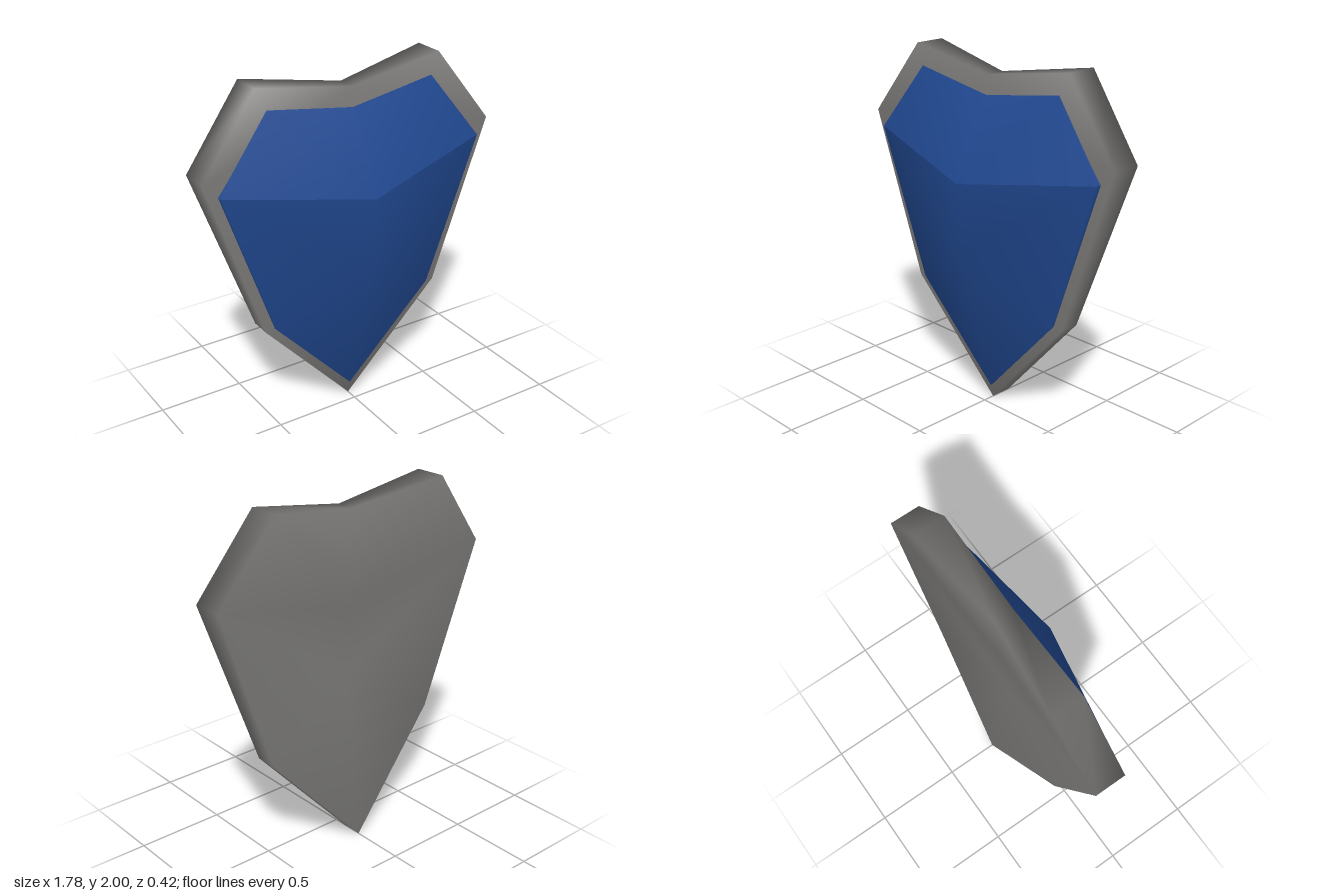
import * as THREE from 'three';

// Half outline (tip up the left side to the top notch) -> full counter-clockwise ring
function mirrorRing(half) {
  const mirrored = half.slice(1, -1).reverse().map(([x, y, z]) => [-x, y, z]);
  return [...half, ...mirrored];
}

// Smooth indexed geometry from points and triangles
function build(points, triangles) {
  const geometry = new THREE.BufferGeometry();
  geometry.setAttribute('position', new THREE.Float32BufferAttribute(points.flat(), 3));
  geometry.setIndex(triangles.flat());
  geometry.computeVertexNormals();
  return geometry;
}

// Two wall triangles between a front edge i-j and the matching back edge, n points later
const wall = (i, j, n) => [[i, n + i, n + j], [i, n + j, j]];

export function createModel() {
  const group = new THREE.Group();
  const grey = new THREE.MeshStandardMaterial({ color: 0x7d7c7a });
  const blue = new THREE.MeshStandardMaterial({ color: 0x214992 });
  const add = (name, geometry, material) => {
    const mesh = new THREE.Mesh(geometry, material);
    mesh.name = name;
    group.add(mesh);
  };

  // Backing plate: x, y, front z, back z
  const plate = [
    [0, 0, -0.07, -0.195],
    [0.56, 0.62, -0.02, -0.14],
    [0.89, 1.57, 0, -0.175],
    [0.56, 2, -0.03, -0.21],
    [0, 1.91, -0.02, -0.13],
  ];
  const front = mirrorRing(plate.map(([x, y, f]) => [x, y, f]));
  const back = mirrorRing(plate.map(([x, y, , b]) => [x, y, b]));
  const n = front.length;
  // Flat front spanned from shoulder to shoulder
  const plateTriangles = [[0, 1, 7], [1, 2, 7], [2, 6, 7], [2, 4, 6], [2, 3, 4], [4, 5, 6]];
  // Hollow back, fanned around a short central line
  const hollow = [[0, 1.36, -0.09], [0, 0.97, -0.09]];
  const high = 2 * n, low = high + 1;
  plateTriangles.push([low, high, n + 2], [high, low, n + 6]);
  for (let i = 0; i < n; i++) {
    const j = (i + 1) % n;
    plateTriangles.push([i >= 2 && i < 6 ? high : low, n + j, n + i], ...wall(i, j, n));
  }
  add('backingPlate', build([...front, ...back, ...hollow], plateTriangles), grey);

  // Raised face: an upper and a lower facet group meeting in a sharp edge
  const rim = mirrorRing([
    [0, 0.08, -0.05],
    [0.505, 0.63, -0.005],
    [0.805, 1.49, 0.03],
    [0.505, 1.88, -0.015],
    [0, 1.8, 0],
  ]);
  const peak = [0, 1.36, 0.21];
  const ridgeEnd = [0, 0.97, 0.2];

  // Fan from an apex to a run of rim points, with a short skirt down to the plate
  function facets(name, run, centres, extra) {
    const points = run.map((i) => rim[i]);
    const sunk = points.map(([x, y, z]) => [x, y, z - 0.04]);
    const m = run.length;
    const triangles = [...extra];
    for (let i = 0; i < m - 1; i++) {
      triangles.push([2 * m, i, i + 1], ...wall(i, i + 1, m));
    }
    add(name, build([...points, ...sunk, ...centres], triangles), blue);
  }
  facets('upperFace', [2, 3, 4, 5, 6], [peak], []);
  facets('lowerFace', [6, 7, 0, 1, 2], [ridgeEnd, peak], [[10, 4, 11], [11, 0, 10]]);

  return group;
}
